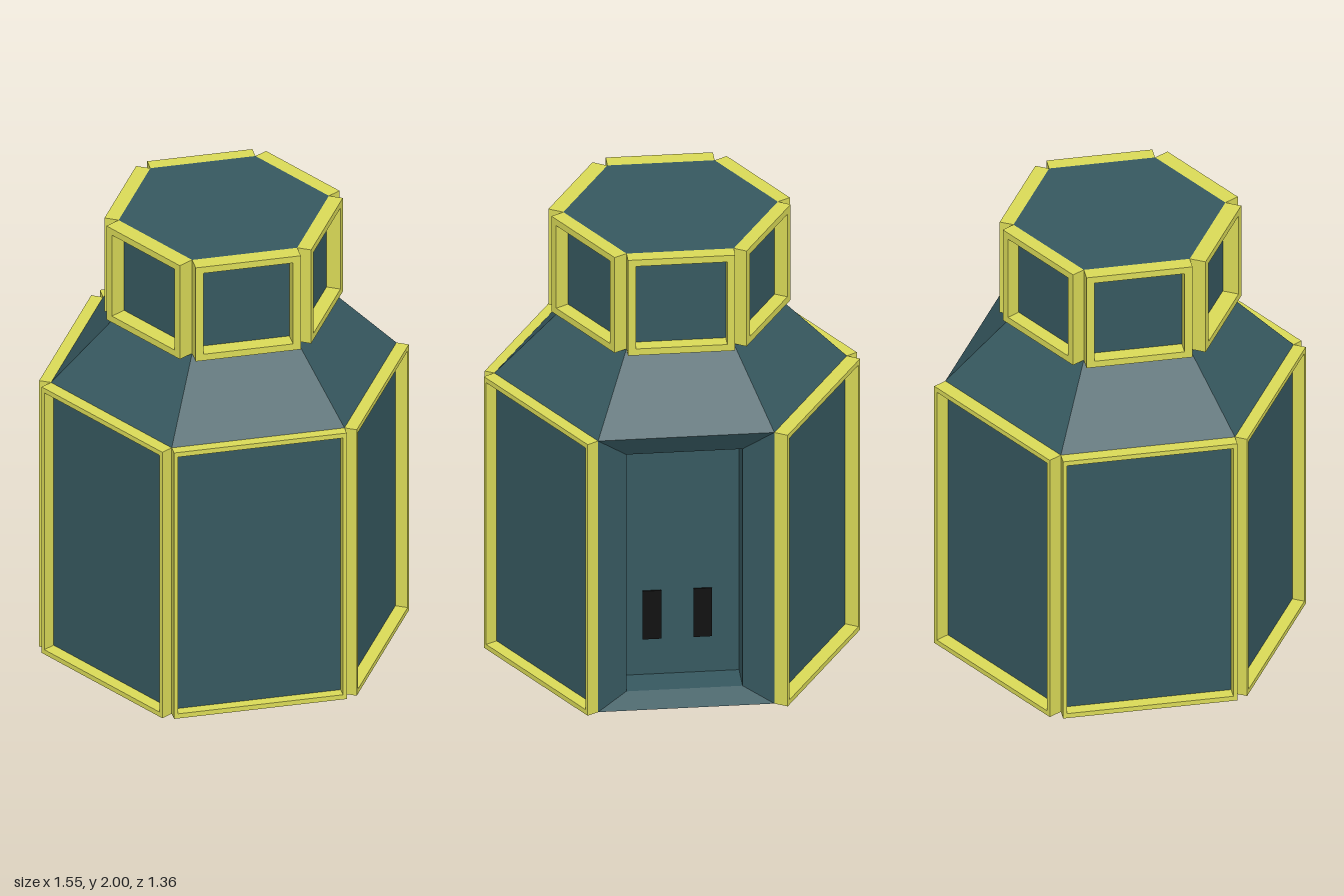
import * as THREE from 'three';

const mat = (color) => new THREE.MeshStandardMaterial({ color, flatShading: true });
const teal = mat(0x36585f), yellow = mat(0xd9d957), black = mat(0x111111);
const DEG = Math.PI / 180, APOTHEM = Math.cos(30 * DEG);

const R = 0.728, H = 1.265;              // lower body
const TOP_R = 0.443, TOP_Y = 1.555;      // upper box
const RECESS_SIDE = 2;                   // hexagon side holding the doorway

function add(parent, name, geometry, material, y = 0) {
  const mesh = new THREE.Mesh(geometry, material);
  mesh.name = name;
  mesh.position.y = y;
  parent.add(mesh);
  return mesh;
}

// Group lying on one hexagon side, its local +z pointing outwards
function sideGroup(parent, name, side, radius, y) {
  const angle = side * 60 * DEG, d = radius * APOTHEM;
  const group = new THREE.Group();
  group.name = name;
  group.position.set(Math.sin(angle) * d, y, Math.cos(angle) * d);
  group.rotation.y = angle;
  parent.add(group);
  return group;
}

function rectangle(path, w, y0, y1) {
  path.moveTo(-w, y0);
  path.lineTo(w, y0);
  path.lineTo(w, y1);
  path.lineTo(-w, y1);
  path.closePath();
  return path;
}

// Rectangular frame: full side width, with an opening
function frameGeometry(width, height, border, rail, depth) {
  const shape = rectangle(new THREE.Shape(), width / 2, 0, height);
  shape.holes.push(rectangle(new THREE.Path(), width / 2 - border, rail, height - rail));
  return new THREE.ExtrudeGeometry(shape, { depth, bevelEnabled: false });
}

// Sloped rim, straight walls and back panel, from rectangular sections
function recessGeometry() {
  const sections = [
    [R / 2, 0, H, 0],
    [0.24, 0.05, 1.155, -0.075],
    [0.24, 0.05, 1.155, -0.215],
  ];
  const points = [], index = [];
  for (const [w, y0, y1, z] of sections) {
    points.push(-w, y0, z, w, y0, z, w, y1, z, -w, y1, z);
  }
  for (let s = 0; s < 2; s++) {
    for (let i = 0; i < 4; i++) {
      const a = s * 4 + i, b = s * 4 + (i + 1) % 4;
      index.push(a, b, b + 4, a, b + 4, a + 4);
    }
  }
  index.push(8, 9, 10, 8, 10, 11);
  const geometry = new THREE.BufferGeometry();
  geometry.setAttribute('position', new THREE.Float32BufferAttribute(points, 3));
  geometry.setIndex(index);
  const flat = geometry.toNonIndexed();
  flat.computeVertexNormals();
  return flat;
}

export function createModel() {
  const model = new THREE.Group();
  model.name = 'hexagonalBooth';
  const booth = new THREE.Group();
  booth.name = 'booth';
  booth.position.z = 0.004;
  model.add(booth);

  // Hexagonal shell, open on the doorway side
  add(booth, 'lowerBody',
    new THREE.CylinderGeometry(R, R, H, 5, 1, true, 150 * DEG, 300 * DEG), teal, H / 2);
  add(booth, 'floor', new THREE.CircleGeometry(R, 6).rotateX(Math.PI / 2), teal);
  add(booth, 'slopedShoulder',
    new THREE.CylinderGeometry(TOP_R, R, TOP_Y - H, 6, 1, true, 30 * DEG), teal, (H + TOP_Y) / 2);
  add(booth, 'upperBody',
    new THREE.CylinderGeometry(TOP_R, TOP_R, 2 - TOP_Y, 6, 1, false, 30 * DEG), teal, (2 + TOP_Y) / 2);

  // Doorway recess with two dark slots
  const doorway = sideGroup(booth, 'doorway', RECESS_SIDE, R, 0);
  add(doorway, 'recess', recessGeometry(), teal);
  for (const x of [-0.12, 0.09]) {
    const slot = add(doorway, 'slot', new THREE.BoxGeometry(0.077, 0.225, 0.008), black, 0.328);
    slot.position.x = x;
    slot.position.z = -0.213;
  }

  // Frames around the sides; depths differ slightly per side
  const lowerDepth = [0.043, 0.053, 0, 0.06, 0.051, 0.053];
  const upperDepth = [0.067, 0.06, 0.06, 0.058, 0.061, 0.069];
  for (let side = 0; side < 6; side++) {
    if (side !== RECESS_SIDE) {
      const lower = sideGroup(booth, 'lowerFrame', side, R, 0);
      add(lower, 'lowerFramePanel', frameGeometry(R, H, 0.016, 0.022, lowerDepth[side]), yellow);
    }
    const upper = sideGroup(booth, 'upperFrame', side, TOP_R, TOP_Y);
    add(upper, 'upperFramePanel',
      frameGeometry(TOP_R, 2 - TOP_Y, 0.033, 0.03, upperDepth[side]), yellow);
  }
  return model;
}
